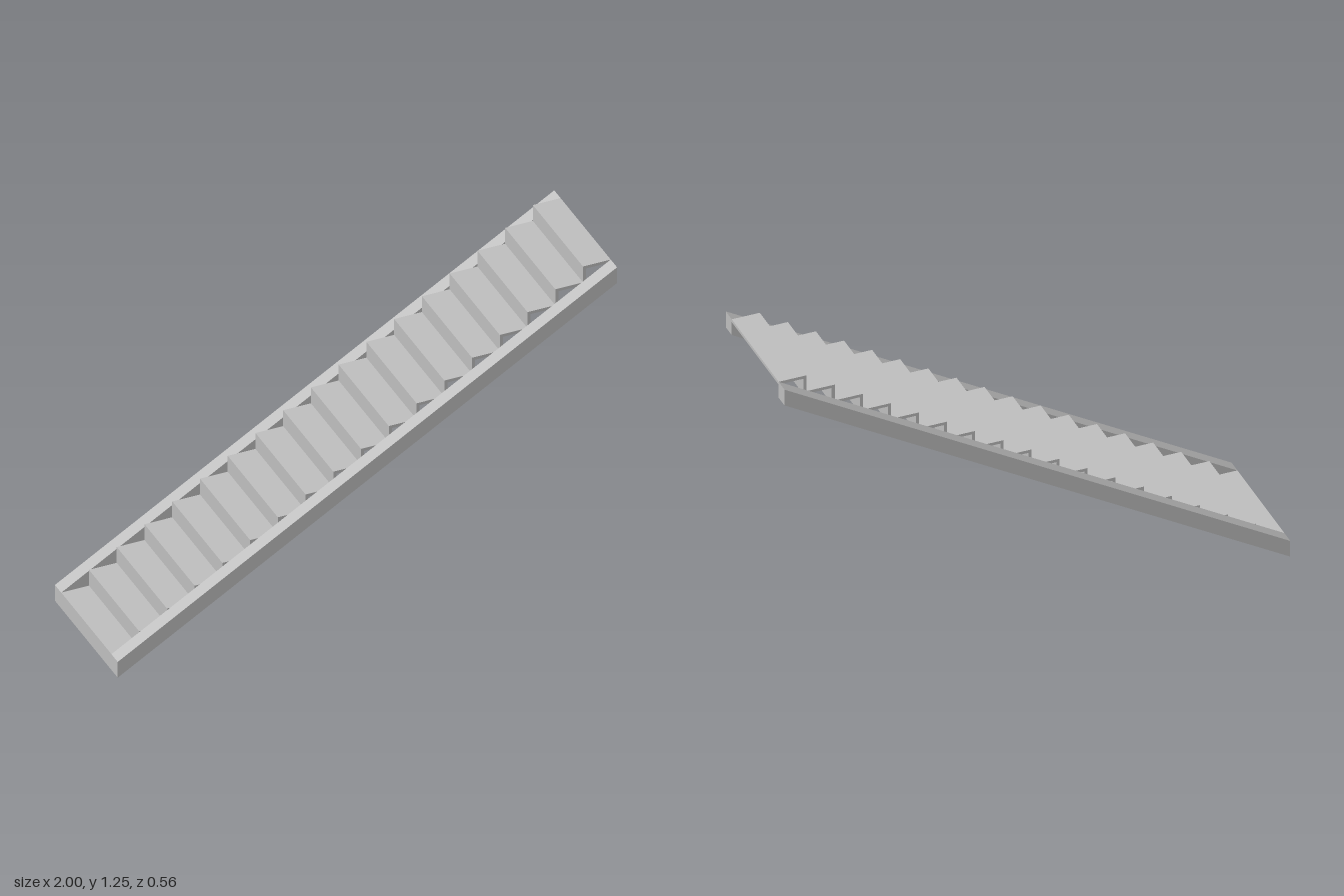
import * as THREE from 'three';

const STEPS = 18;
const RUN = 2 / STEPS;
const RISE = 1.25 / STEPS;
const THICK = 0.012;
const INNER = 0.222; // half width of the steps
const OUTER = 0.278; // half width over the stringers

export function createModel() {
  const group = new THREE.Group();
  group.name = 'staircase';
  const grey = new THREE.MeshStandardMaterial({ color: 0xc0c0c0 });
  grey.name = 'grey';

  const add = (geometry, name, x, y, z) => {
    const mesh = new THREE.Mesh(geometry, grey);
    mesh.name = name;
    mesh.position.set(x, y, z);
    group.add(mesh);
  };

  // Sloping side beams with plumb-cut ends
  const profile = new THREE.Shape([
    new THREE.Vector2(-1, 0),
    new THREE.Vector2(1, 1.181),
    new THREE.Vector2(1, 1.25),
    new THREE.Vector2(-1, 0.069),
  ]);
  const beam = new THREE.ExtrudeGeometry(profile, { depth: OUTER - INNER, bevelEnabled: false });
  add(beam, 'frontStringer', 0, 0, INNER);
  add(beam, 'backStringer', 0, 0, -OUTER);

  // Thin treads and risers, open underneath
  for (let i = 0; i < STEPS; i++) {
    const x = -1 + i * RUN;
    const top = (i + 1) * RISE;
    // each tread runs under the next riser, except the last
    const depth = i < STEPS - 1 ? RUN + THICK : RUN;
    add(new THREE.BoxGeometry(depth, THICK, 2 * INNER), 'tread', x + depth / 2, top - THICK / 2, 0);
    const height = RISE - THICK;
    add(new THREE.BoxGeometry(THICK, height, 2 * INNER), 'riser', x + THICK / 2, i * RISE + height / 2, 0);
  }
  return group;
}
